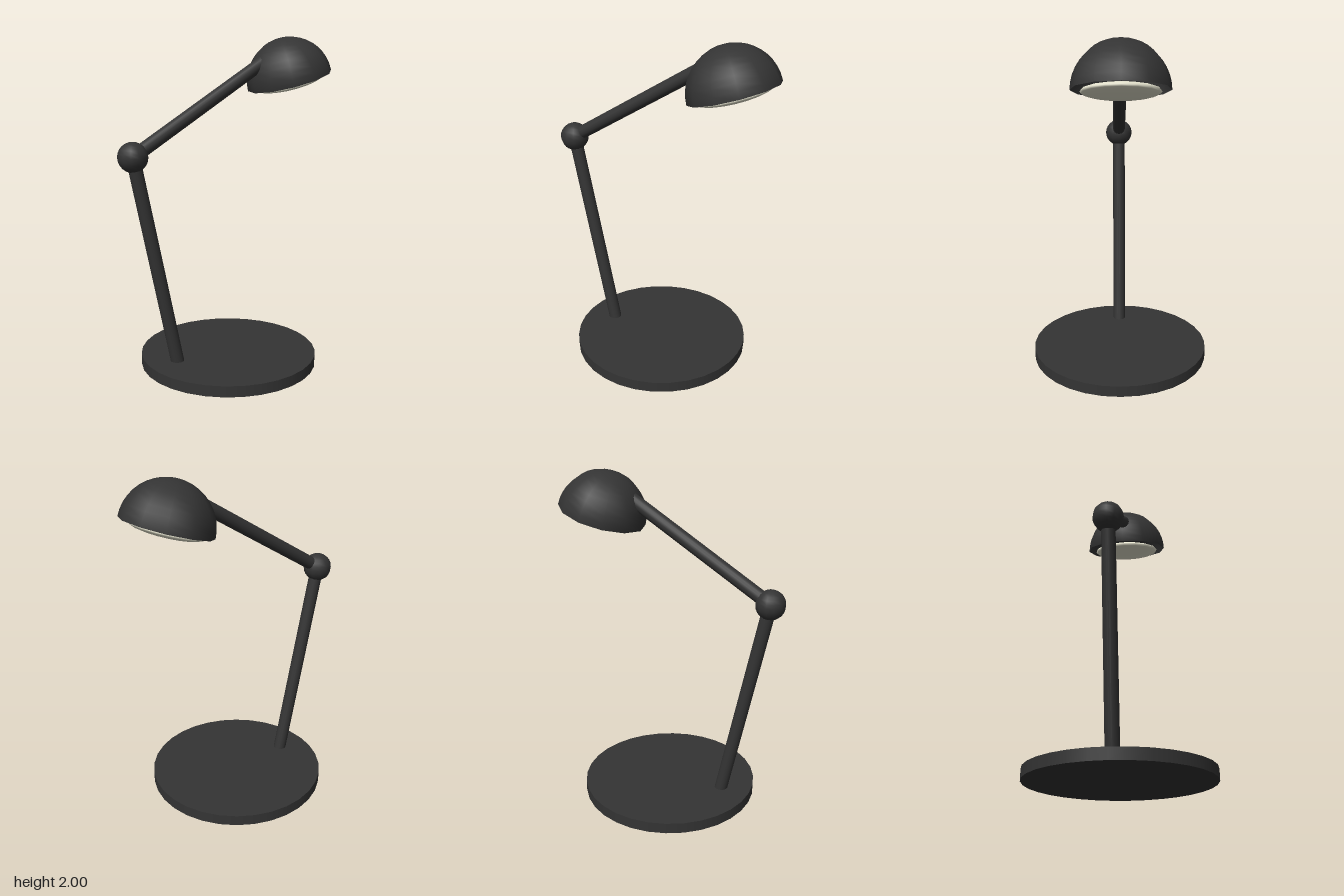
import * as THREE from 'three';

const body = new THREE.MeshStandardMaterial({ color: 0x343434, side: THREE.DoubleSide });
body.name = 'charcoal';
const glow = new THREE.MeshStandardMaterial({ color: 0xfffde6 });
glow.name = 'warm white';

function part(name, geometry, material, x = 0, y = 0) {
  const mesh = new THREE.Mesh(geometry, material);
  mesh.name = name;
  mesh.position.set(x, y, 0);
  return mesh;
}

// Round rod between two points in the x-y plane
function rod(name, [x1, y1], [x2, y2], radius) {
  const length = Math.hypot(x2 - x1, y2 - y1);
  const geometry = new THREE.CylinderGeometry(radius, radius, length, 16);
  const mesh = part(name, geometry, body, (x1 + x2) / 2, (y1 + y2) / 2);
  mesh.rotation.z = Math.atan2(y2 - y1, x2 - x1) - Math.PI / 2;
  return mesh;
}

export function createModel() {
  const lamp = new THREE.Group();
  lamp.name = 'deskLamp';
  const elbow = [-0.62, 1.32];

  // Base, arms and the joint between them
  lamp.add(part('base', new THREE.CylinderGeometry(0.545, 0.545, 0.066, 32), body, 0, 0.033));
  lamp.add(rod('lowerArm', [-0.353, 0.03], elbow, 0.04));
  lamp.add(rod('upperArm', elbow, [0.26, 1.855], 0.04));
  lamp.add(part('elbowJoint', new THREE.SphereGeometry(0.087, 12, 12), body, ...elbow));

  // Tilted head: open dome with a shallow bulb in its mouth
  const head = new THREE.Group();
  head.name = 'head';
  head.position.set(0.445, 1.738, 0);
  head.rotation.z = 0.295;
  const dome = new THREE.SphereGeometry(0.266, 12, 10, 0, Math.PI * 2, 0, Math.PI / 2);
  head.add(part('shade', dome, body));
  const bulb = part('bulb', new THREE.SphereGeometry(0.215, 16, 12), glow, 0, -0.008);
  bulb.scale.y = 0.17;
  head.add(bulb);
  lamp.add(head);

  return lamp;
}
